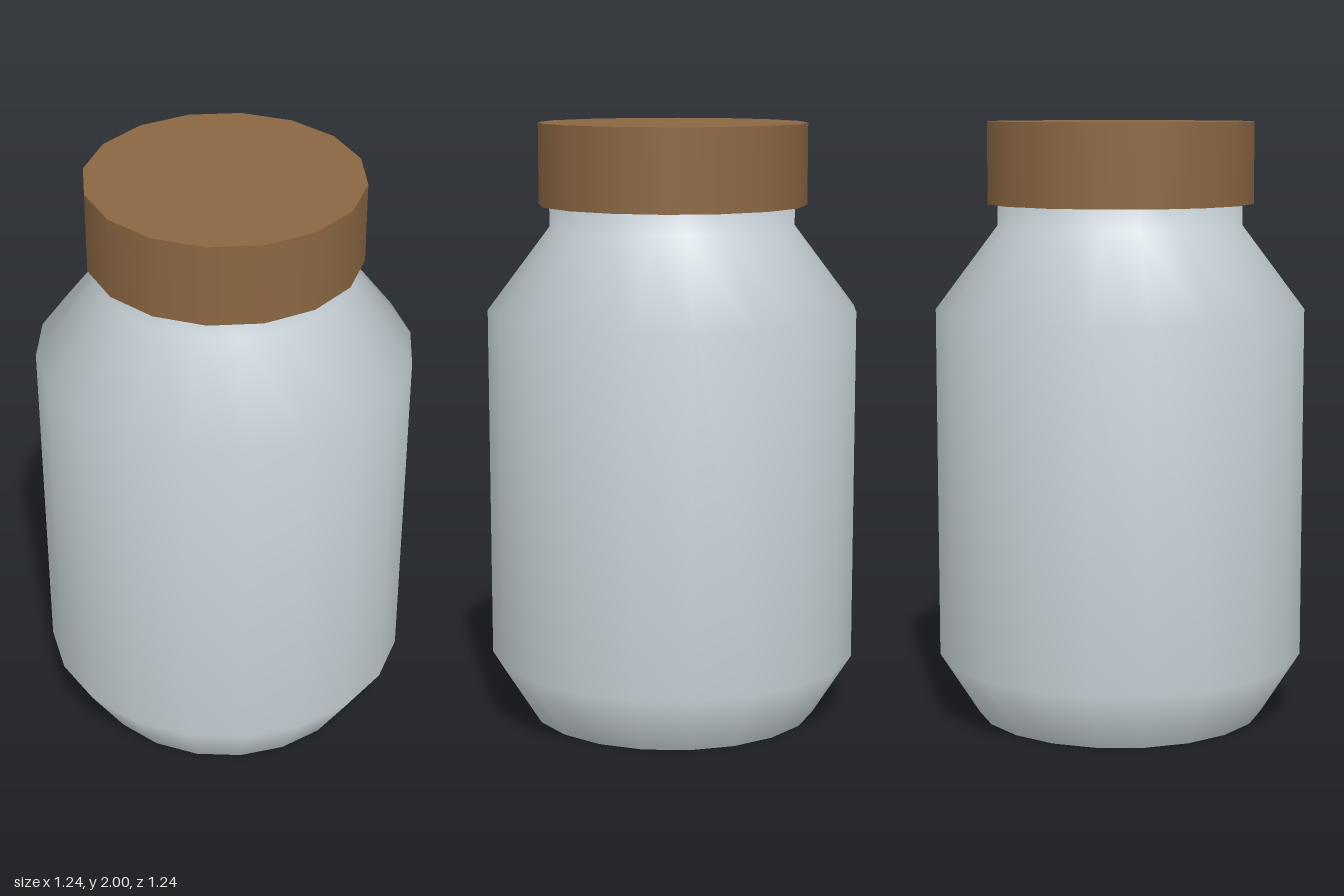
import * as THREE from 'three';

const part = (name, geometry, color, y = 0) => {
  const material = new THREE.MeshStandardMaterial({ color, side: THREE.DoubleSide });
  const mesh = new THREE.Mesh(geometry, material);
  mesh.name = name;
  mesh.position.y = y;
  return mesh;
};

export function createModel() {
  const group = new THREE.Group();
  group.name = 'jar';
  const glass = 0xc8d2d8;
  const wood = 0x8b6642;

  // Jar wall: chamfered foot, straight side, sloped shoulder, neck running up inside the lid
  const profile = [[0.485, 0], [0.618, 0.21], [0.618, 1.385], [0.41, 1.66], [0.41, 1.85]]
    .map(([r, y]) => new THREE.Vector2(r, y));
  group.add(part('jarBody', new THREE.LatheGeometry(profile, 20), glass));

  // Flat base, with a hard edge to the wall
  const base = new THREE.CircleGeometry(0.485, 20).rotateX(Math.PI / 2);
  group.add(part('jarBase', base, glass));

  // Lid: a rim open at the bottom and a flat top
  const lid = new THREE.Group();
  lid.name = 'lid';
  const rim = new THREE.CylinderGeometry(0.447, 0.447, 0.27, 16, 1, true);
  const top = new THREE.CircleGeometry(0.447, 16).rotateX(-Math.PI / 2);
  lid.add(part('lidRim', rim, wood, 1.865), part('lidTop', top, wood, 2));
  group.add(lid);

  return group;
}
